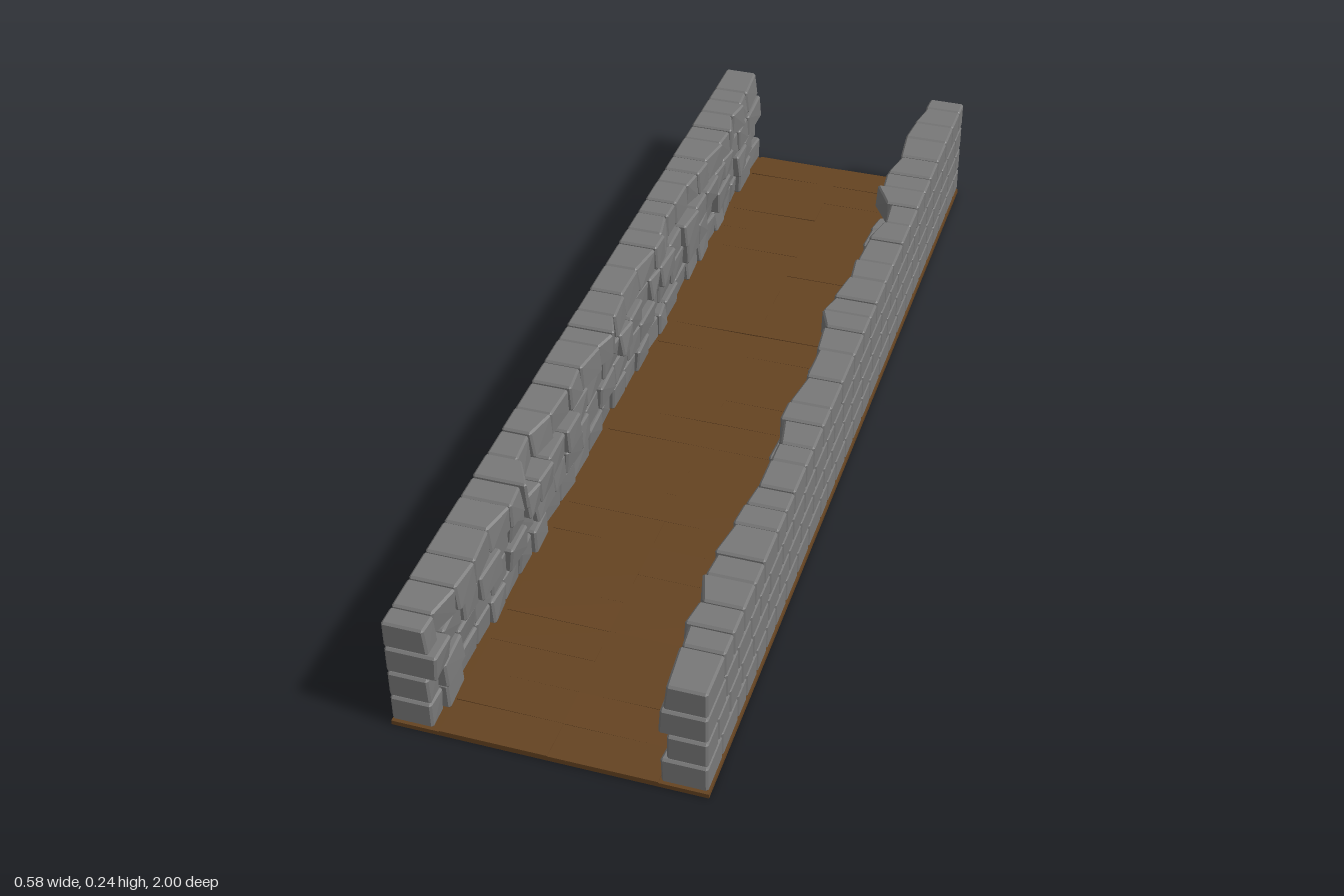
import * as THREE from 'three';
import { mergeGeometries } from 'three/addons/utils/BufferGeometryUtils.js';
import { ConvexGeometry } from 'three/addons/geometries/ConvexGeometry.js';

const OUTER = 0.288, BASE = 0.012, COURSE = 0.058;

function seeded(seed) {
  return () => {
    seed = (seed * 16807) % 2147483647;
    return seed / 2147483647;
  };
}

// Inner edge of the top course along the wall: [z, x]
const topEdge = [
  [-1, 0.21], [-0.92, 0.208], [-0.87, 0.19], [-0.8, 0.19], [-0.76, 0.205], [-0.7, 0.187],
  [-0.6, 0.182], [-0.55, 0.205], [-0.5, 0.235], [-0.42, 0.222], [-0.36, 0.205], [-0.2, 0.212],
  [-0.12, 0.185], [-0.06, 0.18], [-0.04, 0.21], [0.15, 0.213], [0.25, 0.2], [0.33, 0.218],
  [0.42, 0.222], [0.5, 0.21], [0.65, 0.198], [0.74, 0.192], [0.78, 0.21], [0.87, 0.2],
  [0.93, 0.212], [1, 0.21],
];

function edgeAt(z) {
  const i = Math.min(Math.max(topEdge.findIndex(p => p[0] >= z), 1), topEdge.length - 1);
  const [z0, x0] = topEdge[i - 1], [z1, x1] = topEdge[i];
  return THREE.MathUtils.mapLinear(z, z0, z1, x0, x1);
}

// Stone with chamfered edges; the inner face has its own x at each of its four corners
function stone(z0, z1, y0, y1, inner) {
  const c = 0.004, points = [];
  [z0, z1].forEach((z, i) => [y0, y1].forEach((y, j) => {
    const sz = i ? -c : c, sy = j ? -c : c;
    [[OUTER, -c], [inner[i * 2 + j], c]].forEach(([x, sx]) => points.push(
      new THREE.Vector3(x, y + sy, z + sz),
      new THREE.Vector3(x + sx, y, z + sz),
      new THREE.Vector3(x + sx, y + sy, z),
    ));
  }));
  return new ConvexGeometry(points);
}

function wall(name, material) {
  const group = new THREE.Group();
  group.name = name;
  const random = seeded(4711);
  const jitter = r => (random() - 0.5) * 2 * r;
  for (let row = 0; row < 4; row++) {
    const stones = [];
    const y0 = BASE + row * COURSE, y1 = y0 + 0.0555;
    let z = -1;
    while (z < 0.999) {
      let end = z + 0.05 + random() * 0.045;
      if (z === -1 && row % 2) end = z + 0.045;
      if (end > 0.95) end = 1;
      const bulge = jitter(0.006 + row * 0.003);
      const inner = [];
      for (const at of [z, end]) {
        for (const up of [0, 1]) {
          const x = row === 3 ? edgeAt(at) + bulge * 0.3 : 0.207 - row * 0.002 + bulge;
          inner.push(Math.max(x + jitter(0.004) + (row === 3 ? up * 0.003 : 0), 0.172));
        }
      }
      const rise = row === 3 ? random() * 0.003 : 0;
      stones.push(stone(z + 0.001, end - 0.001, y0, y1 + rise, inner));
      z = end;
    }
    const course = new THREE.Mesh(mergeGeometries(stones), material);
    course.name = `stoneCourse${row + 1}`;
    group.add(course);
  }
  return group;
}

// Thin ground slab with slightly uneven, tilted paving on top
function floor(material) {
  const group = new THREE.Group();
  group.name = 'floor';
  const slab = new THREE.Mesh(new THREE.BoxGeometry(0.58, 0.009, 2), material);
  slab.name = 'floorSlab';
  slab.position.y = 0.0045;
  group.add(slab);

  const random = seeded(913), tiles = [];
  for (let row = 0; row < 25; row++) {
    for (const side of [-1, 1]) {
      const tile = new THREE.BoxGeometry(0.2, 0.004, 0.08);
      tile.rotateZ((random() - 0.5) * 0.012);
      tile.rotateX((random() - 0.5) * 0.02);
      tile.translate(side * 0.1, 0.0083 + random() * 0.0012, -0.96 + row * 0.08);
      tiles.push(tile);
    }
  }
  const paving = new THREE.Mesh(mergeGeometries(tiles), material);
  paving.name = 'paving';
  group.add(paving);
  return group;
}

export function createModel() {
  const model = new THREE.Group();
  model.name = 'walledPath';
  const stoneMaterial = new THREE.MeshStandardMaterial({ color: 0x787878, flatShading: true });
  const earthMaterial = new THREE.MeshStandardMaterial({ color: 0x654321, flatShading: true });

  // The second wall is the first one turned half way round
  const left = wall('leftWall', stoneMaterial);
  const right = wall('rightWall', stoneMaterial);
  right.rotation.y = Math.PI;
  model.add(floor(earthMaterial), left, right);
  return model;
}
